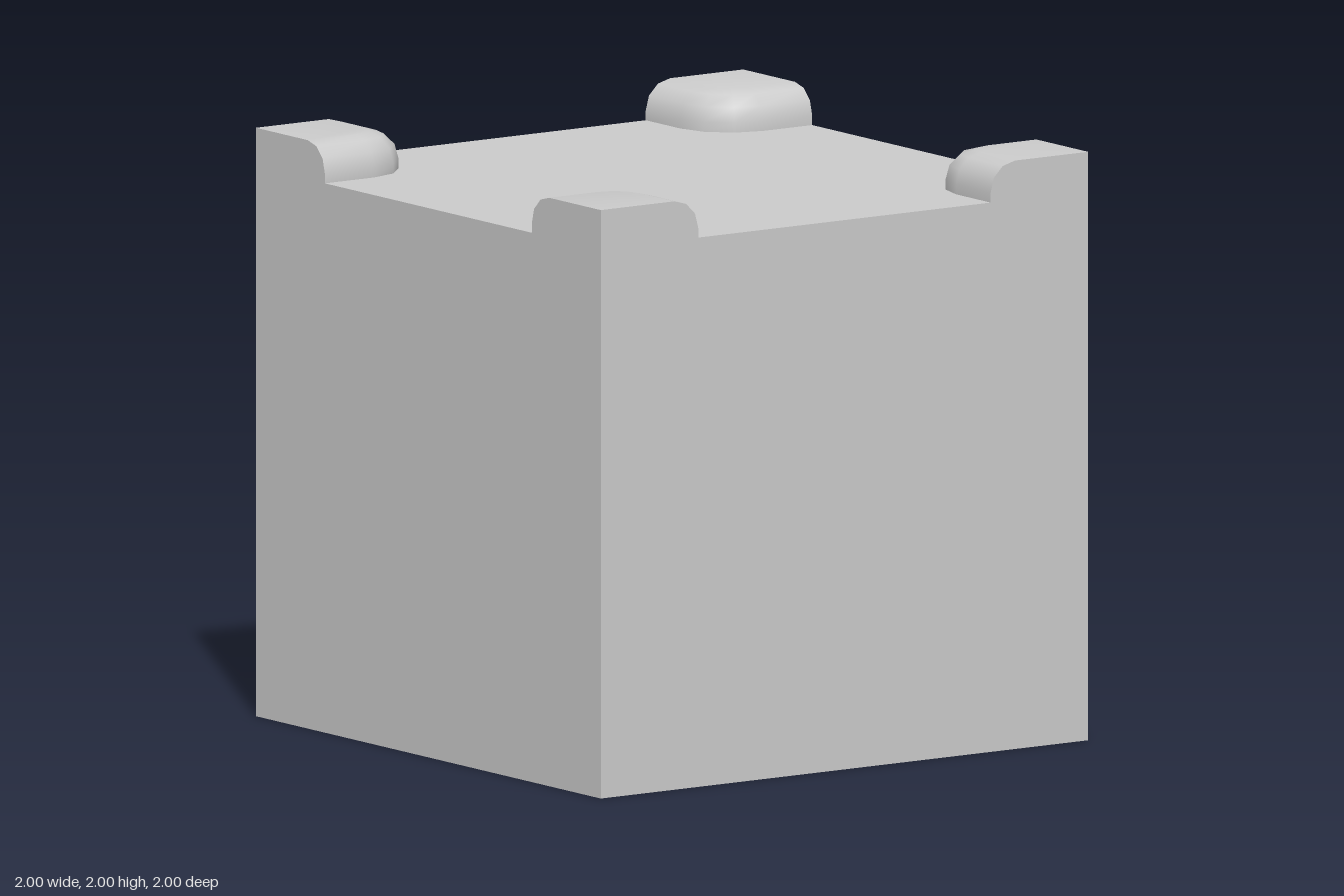
import * as THREE from 'three';
import { toCreasedNormals } from 'three/addons/utils/BufferGeometryUtils.js';

const BODY_TOP = 1.867;
const TOP = 2;
const PAD_EDGE = 0.6;   // inner edge of each corner pad
const CORNER = 0.2;     // plan radius of the pad's inner corner
const BEVEL = 0.1;      // rounding of the pad's top edge
const STEPS = 3;

// Outline of the +x +z pad at one height, pulled in from its inner edges
function padRing(inset, y) {
  const c = PAD_EDGE + CORNER, r = CORNER - inset;
  const ring = [[1, y, PAD_EDGE + inset]];
  for (let i = 0; i <= STEPS; i++) {
    const a = (i / STEPS) * Math.PI / 2;
    ring.push([c - r * Math.sin(a), y, c - r * Math.cos(a)]);
  }
  ring.push([PAD_EDGE + inset, y, 1], [1, y, 1]);
  return ring;
}

function padGeometry() {
  const rings = [padRing(0, BODY_TOP)];
  for (let i = 0; i <= STEPS; i++) {
    const a = (i / STEPS) * Math.PI / 2;
    rings.push(padRing(BEVEL * (1 - Math.cos(a)), TOP - BEVEL + BEVEL * Math.sin(a)));
  }
  const n = rings[0].length;
  const positions = rings.flat(2);
  const index = [];
  // Sides and rounded edge
  for (let k = 0; k < rings.length - 1; k++) {
    for (let j = 0; j < n; j++) {
      const a = k * n + j, b = k * n + (j + 1) % n;
      index.push(a, b, b + n, a, b + n, a + n);
    }
  }
  // Flat top
  const t = (rings.length - 1) * n;
  for (let j = 1; j < n - 1; j++) index.push(t, t + j, t + j + 1);

  const geometry = new THREE.BufferGeometry();
  geometry.setAttribute('position', new THREE.Float32BufferAttribute(positions, 3));
  geometry.setIndex(index);
  return toCreasedNormals(geometry, 0.7);
}

export function createModel() {
  const model = new THREE.Group();
  model.name = 'cornerPaddedBlock';
  const material = new THREE.MeshStandardMaterial({ color: 0xcccccc });

  // Main block
  const body = new THREE.Mesh(new THREE.BoxGeometry(2, BODY_TOP, 2), material);
  body.name = 'body';
  body.position.y = BODY_TOP / 2;
  model.add(body);

  // Four raised corner pads
  const geometry = padGeometry();
  const names = ['frontLeftPad', 'backLeftPad', 'backRightPad', 'frontRightPad'];
  names.forEach((name, i) => {
    const pad = new THREE.Mesh(geometry, material);
    pad.name = name;
    pad.rotation.y = i * Math.PI / 2;
    model.add(pad);
  });
  return model;
}
